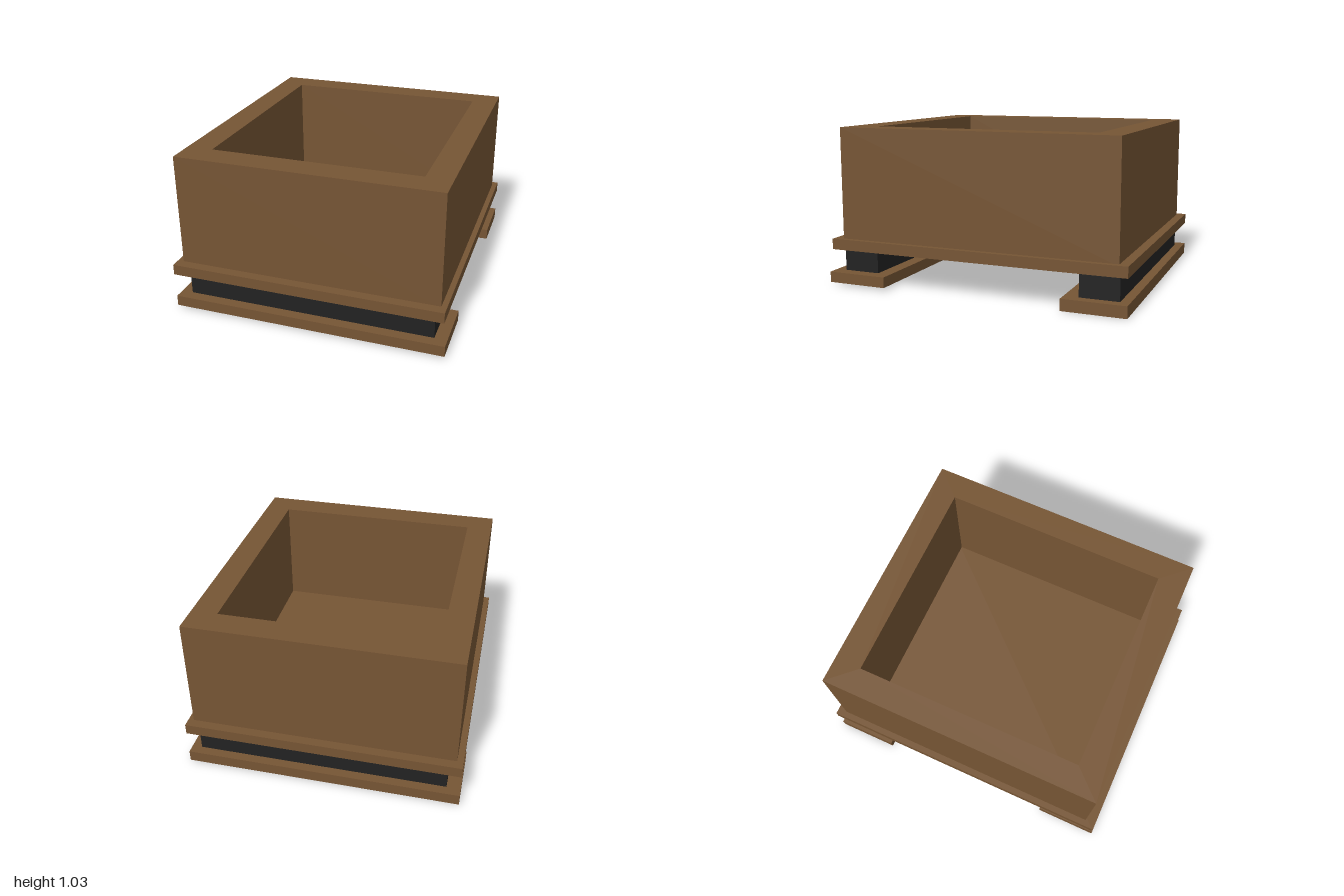
import * as THREE from 'three';

export function createModel() {
  const model = new THREE.Group();
  model.name = 'planterBox';
  const wood = new THREE.MeshStandardMaterial({ color: 0x765534 });
  wood.name = 'brown wood';
  const dark = new THREE.MeshStandardMaterial({ color: 0x222222 });
  dark.name = 'dark rubber';

  // Box given by its limits on each axis
  function block(name, material, [x0, x1], [y0, y1], [z0, z1]) {
    const mesh = new THREE.Mesh(new THREE.BoxGeometry(x1 - x0, y1 - y0, z1 - z0), material);
    mesh.position.set((x0 + x1) / 2, (y0 + y1) / 2, (z0 + z1) / 2);
    mesh.name = name;
    model.add(mesh);
  }

  // Rectangle outline; shape y becomes -z once the extrusion is laid flat
  function rectangle(path, x0, x1, z0, z1) {
    path.moveTo(x0, -z1);
    path.lineTo(x1, -z1);
    path.lineTo(x1, -z0);
    path.lineTo(x0, -z0);
    path.closePath();
    return path;
  }

  // Thick walls around the open cavity
  const outline = rectangle(new THREE.Shape(), -0.86, 0.845, -0.94, 0.92);
  outline.holes.push(rectangle(new THREE.Path(), -0.69, 0.675, -0.76, 0.735));
  const wallGeometry = new THREE.ExtrudeGeometry(outline, { depth: 0.745, bevelEnabled: false });
  wallGeometry.rotateX(-Math.PI / 2);
  const walls = new THREE.Mesh(wallGeometry, wood);
  walls.position.y = 0.29;
  walls.name = 'walls';
  model.add(walls);

  // Base plate, which is also the cavity floor, and the underside just below it
  block('basePlate', wood, [-0.9, 0.88], [0.235, 0.305], [-1, 0.985]);
  block('underside', wood, [-0.86, 0.845], [0.228, 0.25], [-0.94, 0.92]);

  // Dark risers standing on wooden feet
  block('frontRiser', dark, [-0.81, 0.815], [0.08, 0.24], [0.685, 0.93]);
  block('backRiser', dark, [-0.81, 0.815], [0.07, 0.24], [-0.94, -0.69]);
  block('frontFoot', wood, [-0.885, 0.895], [0.015, 0.085], [0.595, 1]);
  block('backFoot', wood, [-0.9, 0.88], [0, 0.075], [-1, -0.595]);

  return model;
}
